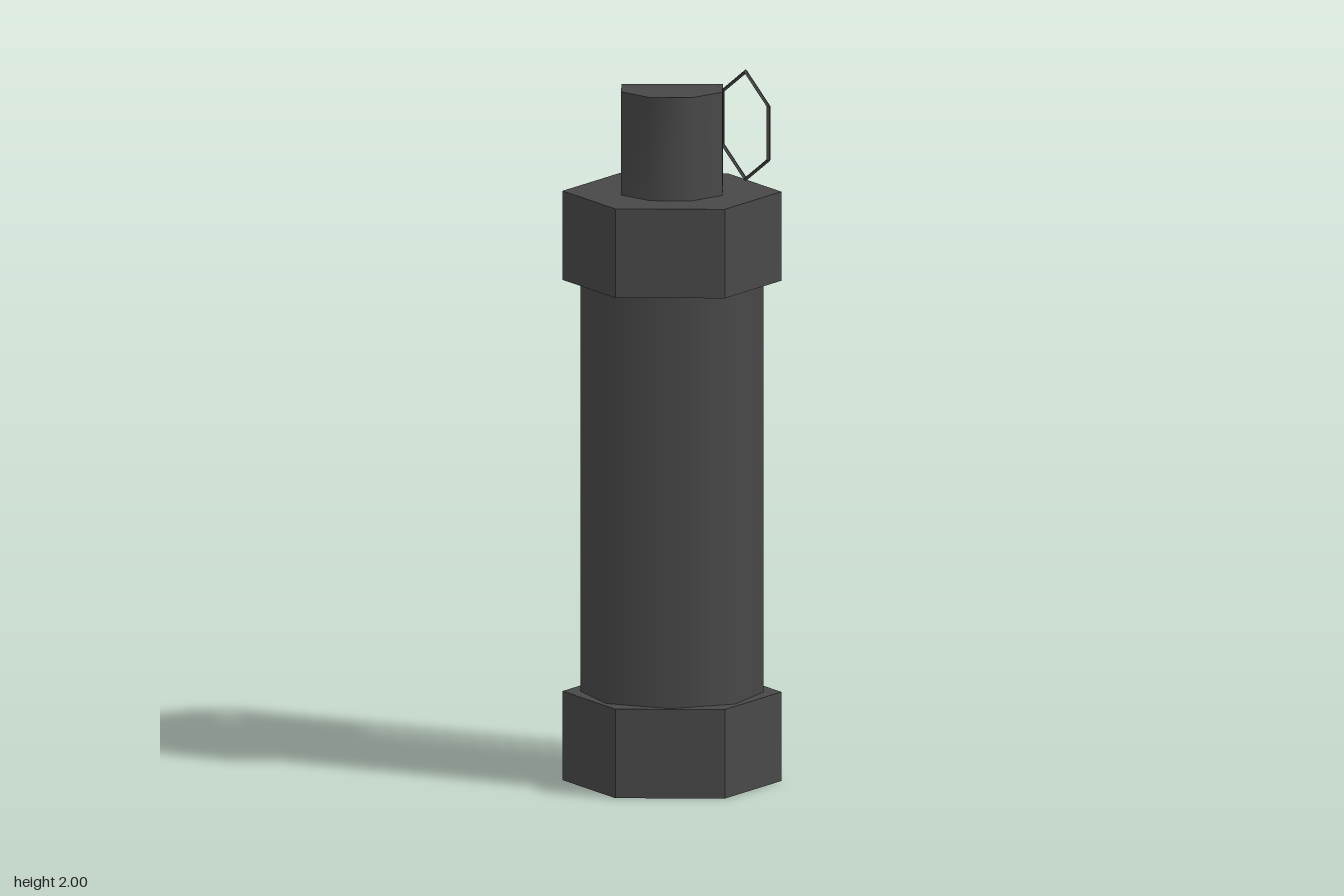
import * as THREE from 'three';
import { toCreasedNormals } from 'three/addons/utils/BufferGeometryUtils.js';

const AXIS_Z = 0.058; // the canister sits a little forward of the lever

export function createModel() {
  const group = new THREE.Group();
  const metal = new THREE.MeshStandardMaterial({ color: 0x484848 });
  metal.name = 'dark grey metal';

  const add = (name, geometry, x = 0, y = 0, z = 0) => {
    const mesh = new THREE.Mesh(geometry, metal);
    mesh.name = name;
    mesh.position.set(x, y, z);
    group.add(mesh);
    return mesh;
  };

  // Hexagonal end caps, corners pointing sideways
  const cap = toCreasedNormals(
    new THREE.CylinderGeometry(0.302, 0.302, 0.25, 6).rotateY(Math.PI / 6), 0.5);
  add('bottomCap', cap, 0, 0.125, AXIS_Z);
  add('topCap', cap, 0, 1.53, AXIS_Z);

  // Smooth eight-sided body between the caps
  add('body', new THREE.CylinderGeometry(0.253, 0.253, 1.165, 8), 0, 0.8275, AXIS_Z);

  // Fuse head and lever
  add('fuseHead', fuseHeadGeometry());
  add('safetyLever', leverGeometry());

  // Hexagonal pull ring, turned towards the front left
  const ringGeometry = toCreasedNormals(
    new THREE.TorusGeometry(0.151, 0.006, 4, 6).rotateZ(Math.PI / 6), 0.5);
  const ring = add('pullRing', ringGeometry, 0.203, 1.84, 0.053);
  ring.rotation.y = -Math.PI / 3;

  return group;
}

// Octagonal neck whose back is drawn out and down to meet the lever
function fuseHeadGeometry() {
  const outline = [
    [0.058, 0.198], [0.14, 0.116], [0.14, 0], [0.058, -0.082],
    [-0.058, -0.082], [-0.14, 0], [-0.14, 0.116], [-0.058, 0.198],
  ];
  const points = [];
  for (const [x, z] of outline) points.push(x, 1.65, z);
  outline.forEach(([x, z], i) => {
    if (i === 3 || i === 4) points.push(x, 1.79, -0.19);
    else points.push(x, 1.945, z);
  });
  points.push(0.058, 1.85, -0.19, -0.058, 1.85, -0.19);

  const faces = [];
  for (let a = 0; a < 8; a++) {
    const b = (a + 1) % 8, ta = a + 8, tb = b + 8;
    if (a < 4) faces.push(a, b, ta, b, tb, ta);
    else faces.push(a, b, tb, a, tb, ta);
  }
  // Upper side corners, then flat top and sloping back
  faces.push(10, 11, 16, 13, 17, 12);
  faces.push(8, 9, 10, 8, 10, 13, 8, 13, 14, 8, 14, 15);
  faces.push(10, 16, 17, 10, 17, 13);

  const geometry = new THREE.BufferGeometry();
  geometry.setAttribute('position', new THREE.Float32BufferAttribute(points, 3));
  geometry.setIndex(faces);
  return toCreasedNormals(geometry, 0.82);
}

// Bent strip: side profile (distance behind centre, height) extruded across its width
function leverGeometry() {
  const profile = [
    [0.19, 1.85], [0.19, 1.79], [0.275, 1.645],
    [0.275, 0.395], [0.315, 0.355], [0.315, 1.7],
  ].map(([s, y]) => new THREE.Vector2(s, y));
  const geometry = new THREE.ExtrudeGeometry(new THREE.Shape(profile), {
    depth: 0.116, bevelEnabled: false,
  });
  return geometry.rotateY(Math.PI / 2).translate(-0.058, 0, 0);
}
